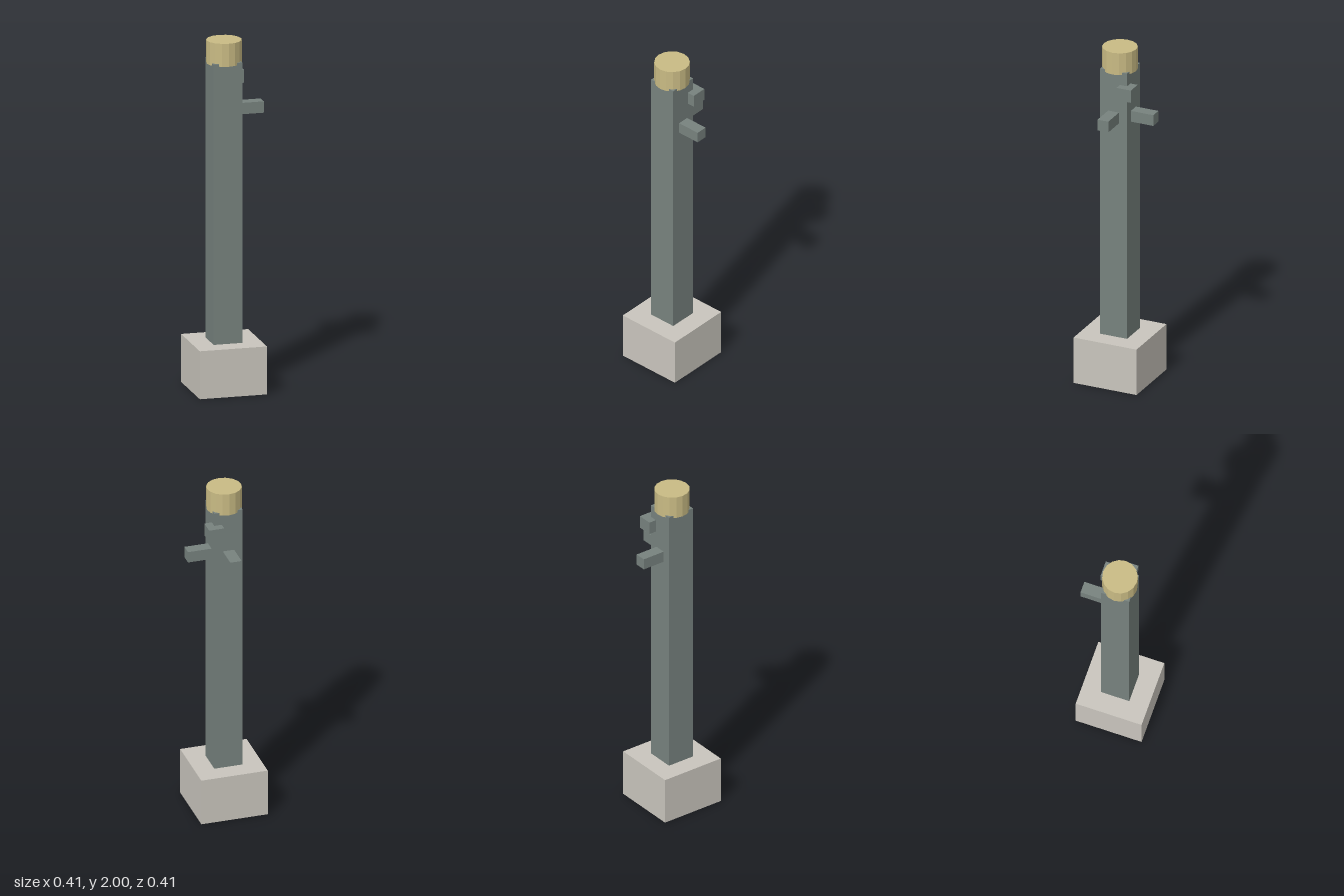
import * as THREE from 'three';

export function createModel() {
  const model = new THREE.Group();
  const stone = new THREE.MeshStandardMaterial({ color: 0xc9c5bd });
  stone.name = 'paleStone';
  const steel = new THREE.MeshStandardMaterial({ color: 0x77827e });
  steel.name = 'greyGreenSteel';
  const brass = new THREE.MeshStandardMaterial({ color: 0xc9bb84, flatShading: true });
  brass.name = 'paleBrass';

  // Axis of the post, offset so the whole model is centred
  const cx = -0.014, cz = 0.012;

  function add(name, geometry, material, x, y, z) {
    const mesh = new THREE.Mesh(geometry, material);
    mesh.name = name;
    mesh.position.set(x, y, z);
    model.add(mesh);
  }

  // Box given by its minimum and maximum corners
  function box(name, material, a, b) {
    const s = b.map((v, i) => v - a[i]);
    add(name, new THREE.BoxGeometry(...s), material, ...a.map((v, i) => v + s[i] / 2));
  }

  // Foundation block and square post
  box('base', stone, [cx - 0.193, 0, cz - 0.193], [cx + 0.193, 0.275, cz + 0.193]);
  box('post', steel, [cx - 0.0825, 0.275, cz - 0.0825], [cx + 0.0825, 1.882, cz + 0.0825]);

  // Sixteen-sided cap, overlapping the top of the post
  add('cap', new THREE.CylinderGeometry(0.099, 0.099, 0.132, 16), brass, cx, 1.934, cz);

  // Two side brackets and the corner bracket above them
  box('leftBracket', steel, [0.06, 1.572, cz - 0.033], [0.206, 1.637, cz + 0.033]);
  box('backBracket', steel, [cx - 0.033, 1.572, -0.208], [cx + 0.033, 1.637, -0.06]);
  box('cornerBracket', steel, [0.025, 1.732, -0.115], [0.113, 1.806, -0.027]);

  return model;
}
